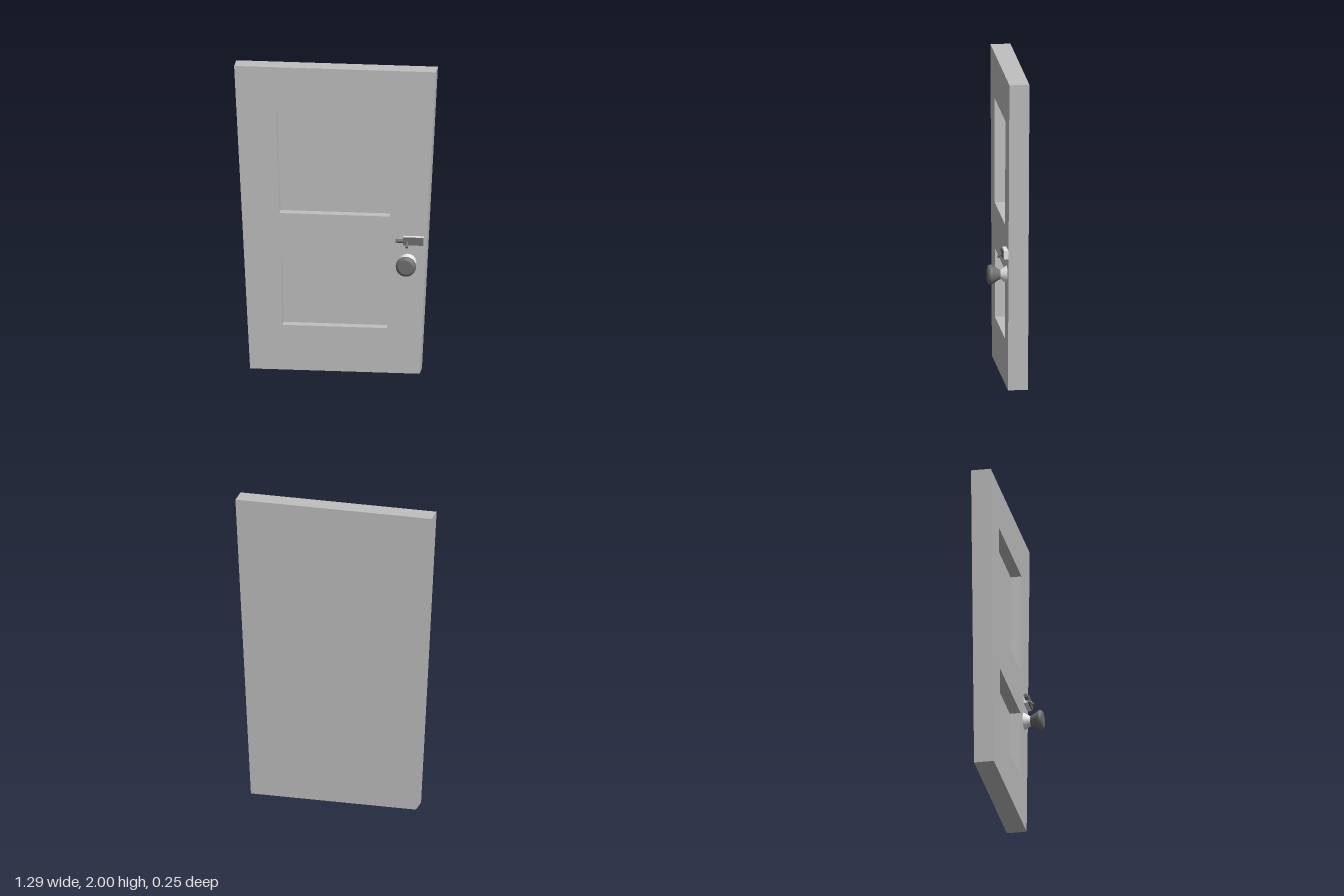
import * as THREE from 'three';

const DEPTH = 0.128, RECESS = 0.07;

export function createModel() {
  const mat = (name, color) => {
    const m = new THREE.MeshStandardMaterial({ color });
    m.name = name;
    return m;
  };
  const paint = mat('door grey', 0xc0c0c0);
  const dark = mat('dark metal', 0x707070);
  const light = mat('light metal', 0xeeeeee);

  const root = new THREE.Group();
  root.name = 'door';
  const add = (name, geometry, material, x = 0, y = 0, z = 0) => {
    const mesh = new THREE.Mesh(geometry, material);
    mesh.name = name;
    mesh.position.set(x, y, z);
    root.add(mesh);
    return mesh;
  };

  // Counter-clockwise trapezoid: half widths at bottom and top
  const trapezoid = (y0, w0, y1, w1, cx = 0) =>
    [[cx - w0, y0], [cx + w0, y0], [cx + w1, y1], [cx - w1, y1]].map(p => new THREE.Vector2(...p));

  // Walls following a closed outline between two depths, facing outwards
  const walls = (pts, zBack, zFront) => {
    const pos = [];
    pts.forEach((a, i) => {
      const b = pts[(i + 1) % pts.length];
      pos.push(a.x, a.y, zBack, b.x, b.y, zBack, b.x, b.y, zFront);
      pos.push(a.x, a.y, zBack, b.x, b.y, zFront, a.x, a.y, zFront);
    });
    const g = new THREE.BufferGeometry();
    g.setAttribute('position', new THREE.Float32BufferAttribute(pos, 3));
    g.computeVertexNormals();
    return g;
  };

  // Tapered slab with two sunken panels
  const outline = trapezoid(0, 0.542, 2, 0.644);
  const panels = {
    upperPanel: trapezoid(1.035, 0.353, 1.71, 0.373, -0.002),
    lowerPanel: trapezoid(0.295, 0.334, 0.74, 0.343, -0.002),
  };
  const face = new THREE.Shape(outline);
  for (const [name, pts] of Object.entries(panels)) {
    face.holes.push(new THREE.Path(pts));
    add(name, new THREE.ShapeGeometry(new THREE.Shape(pts)), paint, 0, 0, -RECESS);
    add(name + 'Walls', walls([...pts].reverse(), -RECESS, 0), paint);
  }
  add('doorFront', new THREE.ShapeGeometry(face), paint);
  add('doorEdges', walls(outline, -DEPTH, 0), paint);
  add('doorBack', new THREE.ShapeGeometry(new THREE.Shape(outline)), paint, 0, 0, -DEPTH)
    .rotation.y = Math.PI;

  // Knob on a flared rose, turned around the z axis
  const turned = (name, profile, material) => {
    const g = new THREE.LatheGeometry(profile.map(p => new THREE.Vector2(...p)), 24);
    add(name, g.rotateX(Math.PI / 2), material, 0.465, 0.737, 0);
  };
  turned('knobRose', [[0.056, 0], [0.052, 0.008], [0.03, 0.042]], light);
  turned('knobNeck', [[0.03, 0.042], [0.036, 0.055], [0.06, 0.093]], dark);
  turned('knobRim', [[0.06, 0.093], [0.065, 0.1], [0.064, 0.111], [0.058, 0.12], [0.045, 0.125]], dark);
  turned('knobFace', [[0.045, 0.125], [0, 0.125]], dark);

  // Sliding latch: case, barrel, bolt and turned-down handle
  add('latchCase', new THREE.BoxGeometry(0.13, 0.056, 0.026), light, 0.505, 0.883, 0.013);
  add('latchCover', new THREE.BoxGeometry(0.13, 0.05, 0.009), dark, 0.505, 0.883, 0.0305);
  add('latchBolt', new THREE.CylinderGeometry(0.013, 0.013, 0.17, 12).rotateZ(Math.PI / 2),
    dark, 0.475, 0.883, 0.022);
  add('latchHandle', new THREE.CylinderGeometry(0.009, 0.009, 0.045, 10).rotateX(2.3),
    dark, 0.465, 0.865, 0.042);

  return root;
}
